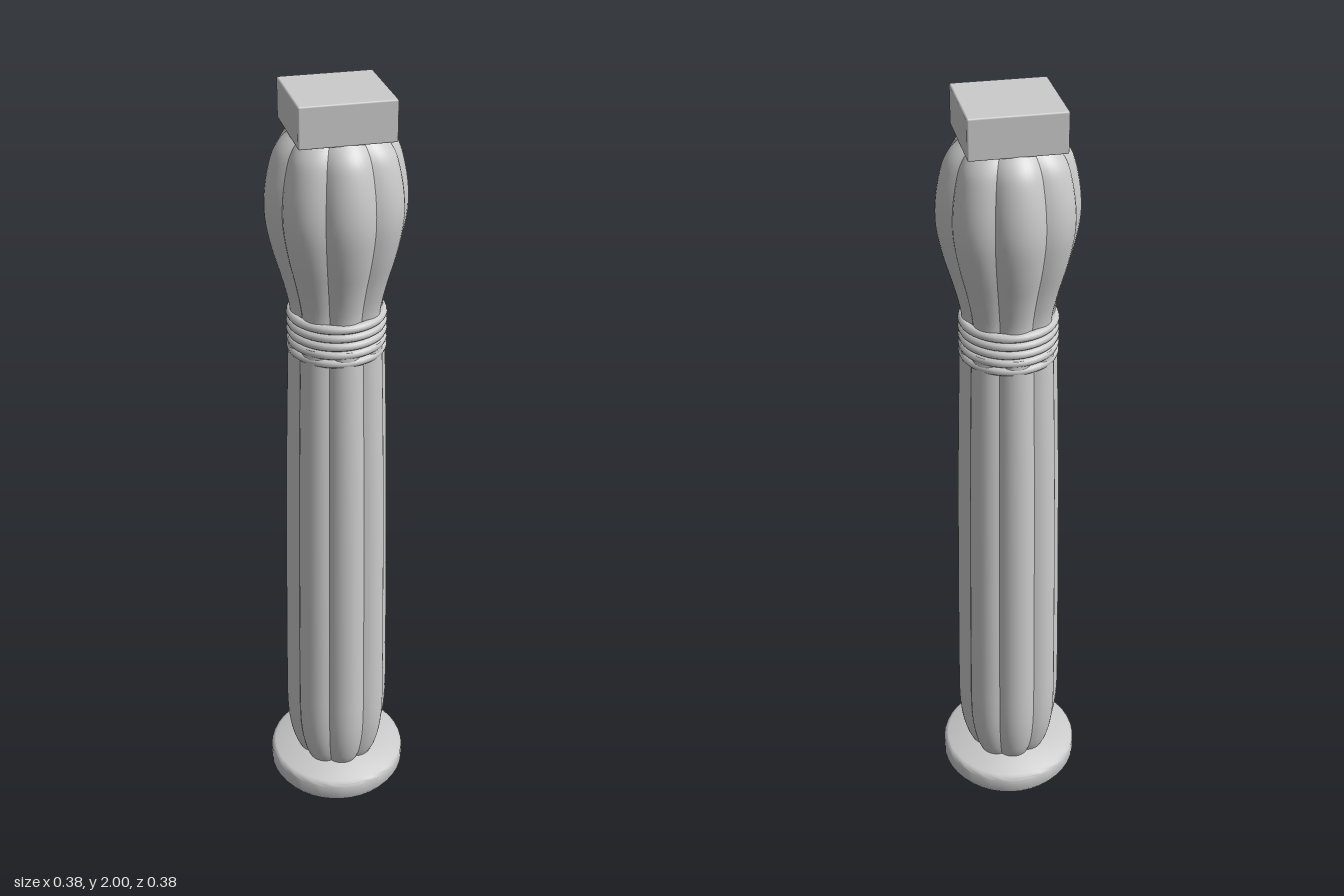
import * as THREE from 'three';
import { mergeGeometries, toCreasedNormals } from 'three/addons/utils/BufferGeometryUtils.js';
import { RoundedBoxGeometry } from 'three/addons/geometries/RoundedBoxGeometry.js';

const LOBES = 8;
const material = new THREE.MeshStandardMaterial({ color: 0xcccccc, side: THREE.DoubleSide });

const toPoints = (pairs) => pairs.map(([r, y]) => new THREE.Vector2(r, y));

// Scale of the lobe outline at an angle from its crest (arc of an off-centre circle)
function lobeScale(a) {
  const d = 0.58, rho = 0.42;
  return d * Math.cos(a) + Math.sqrt(rho * rho - (d * Math.sin(a)) ** 2);
}

// Bundle of rounded stems: one bulging lathe segment repeated around the axis
function lobedGeometry(pairs, steps) {
  const profile = new THREE.SplineCurve(toPoints(pairs)).getPoints(steps);
  const step = (Math.PI * 2) / LOBES;
  const lobe = new THREE.LatheGeometry(profile, 10, -step / 2, step);
  const pos = lobe.attributes.position;
  for (let i = 0; i < pos.count; i++) {
    const x = pos.getX(i), z = pos.getZ(i);
    const s = lobeScale(Math.atan2(x, z));
    pos.setX(i, x * s);
    pos.setZ(i, z * s);
  }
  lobe.computeVertexNormals();
  return mergeGeometries(Array.from({ length: LOBES }, (_, k) => lobe.clone().rotateY(k * step)));
}

export function createModel() {
  const group = new THREE.Group();
  const add = (name, geometry) => {
    const mesh = new THREE.Mesh(geometry, material);
    mesh.name = name;
    group.add(mesh);
    return mesh;
  };

  // Round base plate, hollow underneath
  const base = new THREE.LatheGeometry(toPoints([
    [0.183, 0], [0.19, 0.012], [0.19, 0.052], [0.187, 0.059], [0.178, 0.065], [0, 0.065],
  ]), 40);
  add('base', toCreasedNormals(base, 0.6));

  // Tapering shaft, drawn in at the foot
  add('shaft', lobedGeometry([
    [0.106, 0.062], [0.122, 0.1], [0.136, 0.165], [0.142, 0.25], [0.141, 0.4],
    [0.136, 0.75], [0.129, 1.1], [0.12, 1.4],
  ], 32));

  // Five binding rings below the capital
  const rings = new THREE.Group();
  rings.name = 'bindingRings';
  const ring = new THREE.TorusGeometry(0.111, 0.0115, 10, 40).rotateX(Math.PI / 2);
  for (let i = 0; i < 5; i++) {
    const mesh = new THREE.Mesh(ring, material);
    mesh.name = 'bindingRing';
    mesh.position.y = 1.37 + i * 0.0222;
    rings.add(mesh);
  }
  group.add(rings);

  // Closed bud capital
  add('capital', lobedGeometry([
    [0.112, 1.42], [0.115, 1.48], [0.131, 1.55], [0.154, 1.63], [0.169, 1.71],
    [0.167, 1.78], [0.152, 1.85], [0.134, 1.885], [0.108, 1.91],
  ], 32));

  // Square block on top
  add('abacus', new RoundedBoxGeometry(0.225, 0.096, 0.225, 1, 0.004)).position.y = 1.952;

  return group;
}
